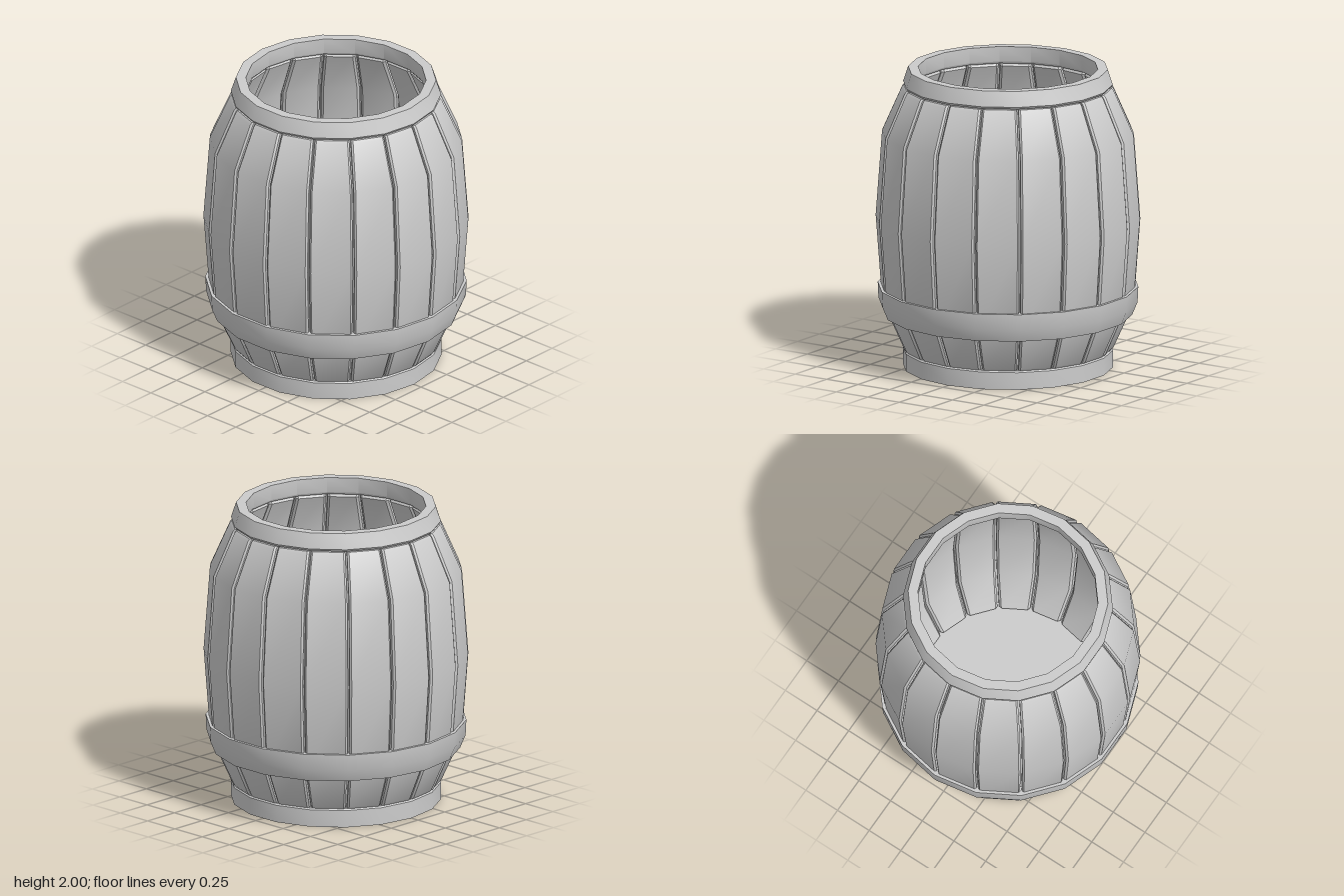
import * as THREE from 'three';
import { toCreasedNormals } from 'three/addons/utils/BufferGeometryUtils.js';

const SIDES = 18;
const STEP = (Math.PI * 2) / SIDES;
const GAP = 0.006;
const BEVEL = 0.013;
const CREASE = 0.6;

const material = new THREE.MeshStandardMaterial({ color: 0xcccccc });
const thinMaterial = new THREE.MeshStandardMaterial({ color: 0xcccccc, side: THREE.DoubleSide });

// Stave stations: height, outer corner radius, inner corner radius
const stations = [
  [0.125, 0.685, 0.615],
  [0.14, 0.698, 0.605],
  [0.43, 0.828, 0.74],
  [1.0, 0.87, 0.785],
  [1.57, 0.828, 0.74],
  [1.865, 0.698, 0.605],
  [1.88, 0.685, 0.615],
];

// Eighteen-sided ring with its corners on the stave joints
function ring(name, profile, mat = material) {
  const points = profile.map(([r, y]) => new THREE.Vector2(r, y));
  const lathe = new THREE.LatheGeometry(points, SIDES, STEP / 2);
  const mesh = new THREE.Mesh(toCreasedNormals(lathe, CREASE), mat);
  mesh.name = name;
  return mesh;
}

// One bevelled plank, lofted through the stations and facing +z
function staveGeometry() {
  const positions = [];
  const index = [];
  const tan = Math.tan(STEP / 2);
  const half = (d) => d * tan - GAP;
  for (const [y, outer, inner] of stations) {
    const a = outer * Math.cos(STEP / 2);
    const b = inner * Math.cos(STEP / 2);
    const right = [
      [half(a) - BEVEL, a],
      [half(a - BEVEL), a - BEVEL],
      [half(b + BEVEL), b + BEVEL],
      [half(b) - BEVEL, b],
    ];
    const left = right.map(([x, z]) => [-x, z]).reverse();
    for (const [x, z] of [...right, ...left]) positions.push(x, y, z);
  }
  const n = 8;
  const last = (stations.length - 1) * n;
  for (let s = 0; s < last; s += n) {
    for (let j = 0; j < n; j++) {
      const k = (j + 1) % n;
      index.push(s + j, s + k, s + n + k, s + j, s + n + k, s + n + j);
    }
  }
  for (let j = 1; j < n - 1; j++) {
    index.push(0, j + 1, j, last, last + j, last + j + 1);
  }
  const geometry = new THREE.BufferGeometry();
  geometry.setAttribute('position', new THREE.Float32BufferAttribute(positions, 3));
  geometry.setIndex(index);
  return toCreasedNormals(geometry, CREASE);
}

export function createModel() {
  const model = new THREE.Group();
  model.name = 'barrel';

  // Staves around the body
  const staves = new THREE.Group();
  staves.name = 'staves';
  const plank = staveGeometry();
  for (let i = 0; i < SIDES; i++) {
    const stave = new THREE.Mesh(plank, material);
    stave.name = 'stave';
    stave.rotation.y = i * STEP;
    staves.add(stave);
  }
  model.add(staves);

  // Thin shell that closes the joints between staves
  const core = stations.slice(1, -1).map(([y, outer, inner]) => [(outer + inner) / 2, y]);
  core.unshift([0.65, 0.1]);
  core.push([0.65, 1.9]);
  model.add(ring('jointShell', core, thinMaterial));

  // Solid base, open rim and lower hoop
  model.add(ring('base', [[0, 0], [0.69, 0], [0.69, 0.115], [0.68, 0.125], [0, 0.125]]));
  model.add(ring('rim', [
    [0.6, 1.885], [0.678, 1.885], [0.688, 1.9], [0.655, 2], [0.59, 2], [0.59, 1.9], [0.6, 1.885],
  ]));
  model.add(ring('hoop', [
    [0.76, 0.355], [0.815, 0.355], [0.85, 0.44], [0.855, 0.545], [0.79, 0.545], [0.76, 0.355],
  ]));

  return model;
}
